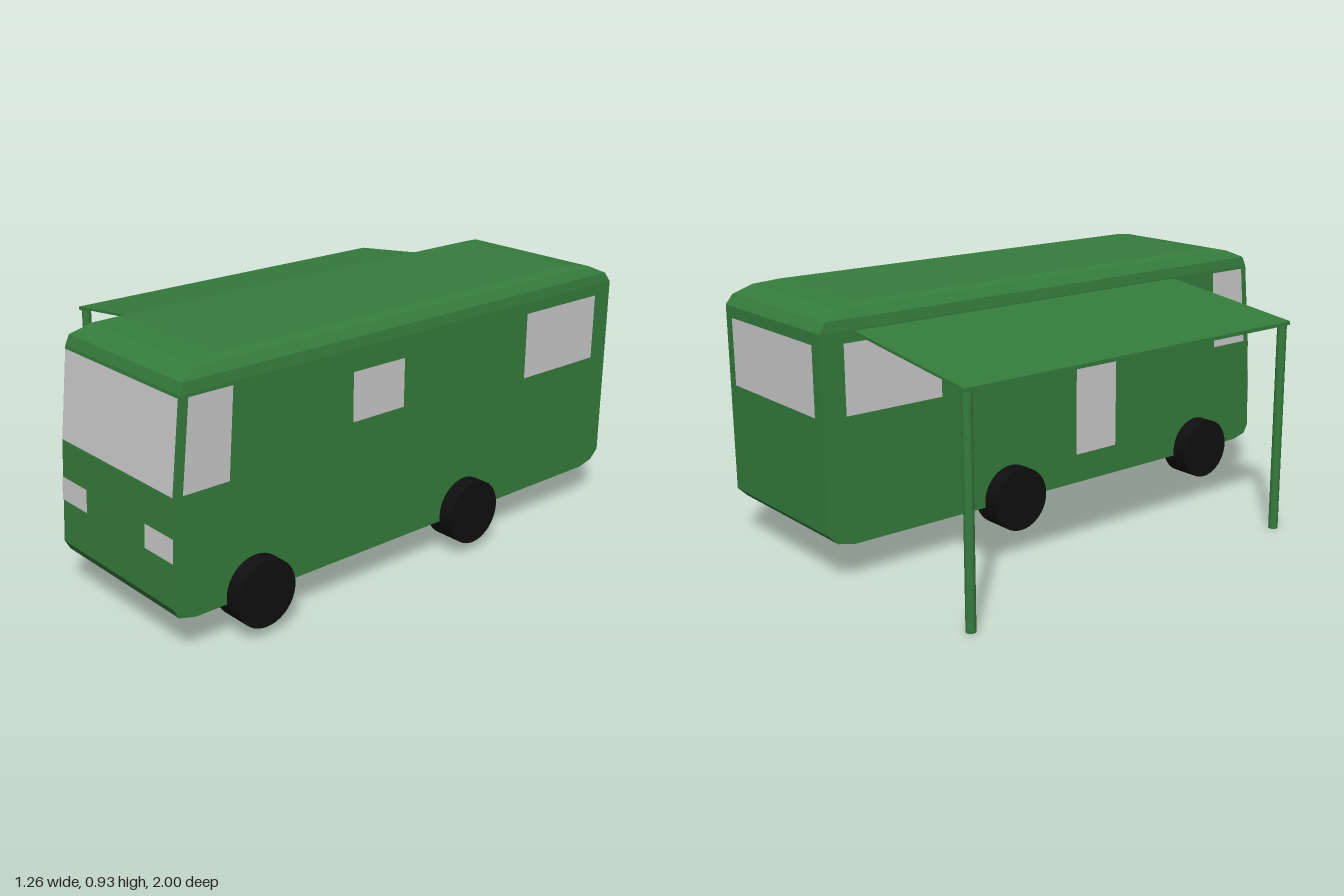
import * as THREE from 'three';

const green = new THREE.MeshStandardMaterial({ color: 0x357c3c, flatShading: true });
const grey = new THREE.MeshStandardMaterial({ color: 0xcccccc, flatShading: true, side: THREE.DoubleSide });
const black = new THREE.MeshStandardMaterial({ color: 0x0f0f0f });

const LEFT = 0.575, RIGHT = -0.05; // body sides in x

// Horizontal rings of the body shell: y, back z, front z, inset in x
const RINGS = [
  [0.13, -0.9, 0.92, 0], [0.145, -0.965, 0.98, 0], [0.18, -1, 1, 0],
  [0.53, -1, 0.985, 0], [0.85, -1, 0.952, 0], [0.885, -0.975, 0.94, 0.006],
  [0.915, -0.91, 0.87, 0.03], [0.928, -0.82, 0.78, 0.063],
];

function bodyGeometry() {
  const pos = [], idx = [];
  for (const [y, back, front, inset] of RINGS) {
    const a = RIGHT + inset, b = LEFT - inset;
    pos.push(a, y, front, b, y, front, b, y, back, a, y, back);
  }
  for (let r = 0; r < RINGS.length - 1; r++) {
    for (let i = 0; i < 4; i++) {
      const a = r * 4 + i, b = r * 4 + (i + 1) % 4;
      idx.push(a, b, b + 4, a, b + 4, a + 4);
    }
  }
  const t = (RINGS.length - 1) * 4;
  idx.push(t, t + 1, t + 2, t, t + 2, t + 3, 0, 2, 1, 0, 3, 2);
  const g = new THREE.BufferGeometry();
  g.setAttribute('position', new THREE.Float32BufferAttribute(pos, 3));
  g.setIndex(idx);
  const flat = g.toNonIndexed();
  flat.computeVertexNormals();
  return flat;
}

// z of the sloping front just outside the shell
function frontZ(y) {
  const i = y < 0.53 ? 2 : 3, [y0, , z0] = RINGS[i], [y1, , z1] = RINGS[i + 1];
  return z0 + (z1 - z0) * (y - y0) / (y1 - y0) + 0.003;
}

export function createModel() {
  const model = new THREE.Group();
  const add = (name, geometry, material, x = 0, y = 0, z = 0) => {
    const m = new THREE.Mesh(geometry, material);
    m.name = name;
    m.position.set(x, y, z);
    model.add(m);
    return m;
  };
  // Flat pane from four corners, counter-clockwise seen from outside
  const pane = (name, corners, material = grey) => {
    const g = new THREE.BufferGeometry();
    g.setAttribute('position', new THREE.Float32BufferAttribute(corners.flat(), 3));
    g.setIndex([0, 1, 2, 0, 2, 3]);
    g.computeVertexNormals();
    return add(name, g, material);
  };
  const frontPane = (name, x0, x1, y0, y1) => pane(name, [
    [x0, y0, frontZ(y0)], [x1, y0, frontZ(y0)], [x1, y1, frontZ(y1)], [x0, y1, frontZ(y1)]]);
  // Side pane from [z, y] corners, counter-clockwise seen from +x
  const sidePane = (name, side, zy) => {
    const x = side > 0 ? LEFT + 0.003 : RIGHT - 0.003;
    const c = zy.map(([z, y]) => [x, y, z]);
    pane(name, side > 0 ? c : c.reverse());
  };
  const rect = (z0, z1, y0, y1) => [[z1, y0], [z0, y0], [z0, y1], [z1, y1]];

  add('body', bodyGeometry(), green);

  // Front and back glass, headlights
  frontPane('windshield', -0.045, 0.57, 0.54, 0.84);
  frontPane('rightHeadlight', -0.05, 0.098, 0.33, 0.41);
  frontPane('leftHeadlight', 0.427, 0.575, 0.33, 0.41);
  pane('rearWindow', [[0.53, 0.57, -1.003], [-0.005, 0.57, -1.003], [-0.005, 0.81, -1.003], [0.53, 0.81, -1.003]]);

  // Side windows
  for (const side of [1, -1]) {
    const s = side > 0 ? 'left' : 'right';
    sidePane(s + 'CabWindow', side, [[0.955, 0.54], [0.783, 0.54], [0.763, 0.84], [0.925, 0.84]]);
    sidePane(s + 'RearSideWindow', side, rect(-0.915, -0.54, 0.57, 0.81));
  }
  sidePane('leftMiddleWindow', 1, rect(0.06, 0.285, 0.605, 0.775));
  // Entrance door panel under the awning
  sidePane('doorPanel', -1, rect(0.06, 0.255, 0.24, 0.775));

  // Wheels
  const wheel = new THREE.CylinderGeometry(0.115, 0.115, 0.114, 40).rotateZ(Math.PI / 2);
  for (const [end, z] of [['front', 0.687], ['rear', -0.248]]) {
    add(end + 'LeftWheel', wheel, black, 0.574, 0.15, z);
    add(end + 'RightWheel', wheel, black, -0.053, 0.15, z);
  }

  // Awning: thin sloping sheet with a small outer lip, on two poles
  const sheet = new THREE.Shape([[-0.632, 0.762], [-0.616, 0.764], [-0.616, 0.769], [-0.05, 0.835],
    [-0.05, 0.845], [-0.632, 0.775]].map(([x, y]) => new THREE.Vector2(x, y)));
  add('awning', new THREE.ExtrudeGeometry(sheet, { depth: 1.42, bevelEnabled: false }), green, 0, 0, -0.87);
  const pole = new THREE.CylinderGeometry(0.017, 0.017, 0.77, 16);
  add('frontPole', pole, green, -0.61, 0.385, 0.533);
  add('rearPole', pole, green, -0.61, 0.385, -0.845);

  return model;
}
